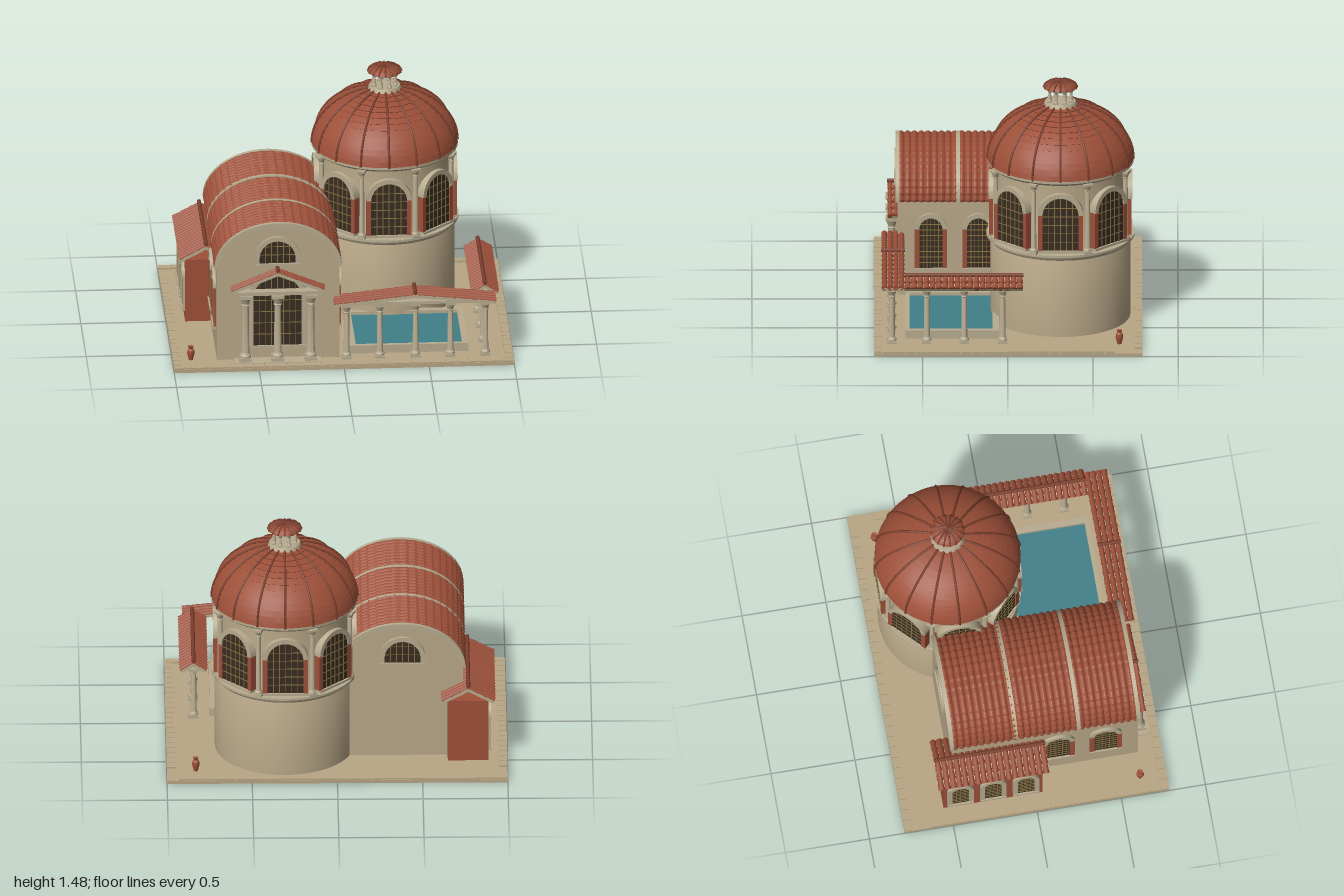
import * as THREE from 'three';
import { mergeGeometries, toCreasedNormals } from 'three/addons/utils/BufferGeometryUtils.js';
import { ParametricGeometry } from 'three/addons/geometries/ParametricGeometry.js';

const mat = (name, color, side = THREE.FrontSide) => Object.assign(new THREE.MeshStandardMaterial({ color, side }), { name });
const M = {
  wall: mat('sandstone wall', 0xb9a888),
  ground: mat('paving', 0xb8a684),
  trim: mat('pale stone trim', 0xb8ac90),
  tile: mat('terracotta tile', 0x9c4f38, THREE.DoubleSide),
  ridge: mat('dark ridge tile', 0x7c3f2d),
  brick: mat('red plaster', 0x9e5039),
  glass: mat('dark glass', 0x382c21),
  bar: mat('bronze bars', 0x86713f),
  water: mat('pool water', 0x40808a),
};
const TX = 0.305, TZ = -0.31, HX = -0.38; // tower centre, hall axis

function add(parent, name, material, geos) {
  const list = [geos].flat().map(g => (g.index ? g.toNonIndexed() : g));
  const mesh = new THREE.Mesh(list.length > 1 ? mergeGeometries(list) : list[0], material);
  mesh.name = name;
  parent.add(mesh);
  return mesh;
}
const box = (x0, x1, y0, y1, z0, z1) =>
  new THREE.BoxGeometry(x1 - x0, y1 - y0, z1 - z0).translate((x0 + x1) / 2, (y0 + y1) / 2, (z0 + z1) / 2);
const lathe = (pts, seg = 16) =>
  toCreasedNormals(new THREE.LatheGeometry(pts.map(p => new THREE.Vector2(...p)), seg), 0.5);
const extrude = (shape, z0, z1) =>
  new THREE.ExtrudeGeometry(shape, { depth: z1 - z0, bevelEnabled: false, curveSegments: 32 }).translate(0, 0, z0);

// Column with square plinth, turned shaft and square capital
function column(x, z, y0, y1, r) {
  const h = y1 - y0, w = r * 1.6;
  return [
    box(-w, w, 0, r * 0.9, -w, w),
    lathe([[r * 1.5, r * 0.9], [r * 1.5, r * 1.4], [r * 1.1, r * 2], [r, r * 2.4], [r * 0.85, h - r * 3],
      [r * 1.1, h - r * 2.8], [r * 0.9, h - r * 2.4], [r * 1.5, h - r * 0.8]], 14),
    box(-w, w, h - r * 0.8, h, -w, w),
  ].map(g => g.translate(x, y0, z));
}

// Arched window facing +z, origin at the bottom centre
function archWindow(name, w, h, { shutters = 0, deep = 0.006, sill = true, nx = 6, frame = 0.028 } = {}) {
  const g = new THREE.Group(), r = w / 2, s = h - r;
  g.name = name;
  const pane = new THREE.Shape().moveTo(-r, 0).lineTo(r, 0).lineTo(r, s).absarc(0, s, r, 0, Math.PI, false).lineTo(-r, 0);
  add(g, 'glass', M.glass, extrude(pane, -0.004, 0.004));
  const bars = [];
  for (let i = 1; i < nx; i++) {
    const x = -r + (w * i) / nx;
    bars.push(box(x - 0.002, x + 0.002, 0, s + Math.sqrt(r * r - x * x), 0.003, 0.008));
  }
  for (let y = w / 4; y < h - 0.02; y += w / 4) {
    const hw = y < s ? r : Math.sqrt(r * r - (y - s) ** 2);
    bars.push(box(-hw, hw, y - 0.002, y + 0.002, 0.003, 0.007));
  }
  add(g, 'window bars', M.bar, bars);
  const R = r + frame;
  const ring = new THREE.Shape().moveTo(R, s).absarc(0, s, R, 0, Math.PI, false).lineTo(-r, s).absarc(0, s, r, Math.PI, 0, true);
  const trim = [extrude(ring, -deep, 0.014)];
  if (sill) trim.push(box(-R, R, -0.014, 0, -deep, 0.016));
  const sides = [-1, 1].map(k => box(Math.min(k * r, k * R), Math.max(k * r, k * R), 0, s, -deep, 0.01));
  if (shutters) add(g, 'shutters', M.brick, sides);
  else trim.push(...sides);
  add(g, 'window surround', M.trim, trim);
  return g;
}

// Open gable with its ridge along z and rows of barrel tiles down both slopes
function gableRoof(parent, name, x0, x1, z0, z1, yEave, yRidge) {
  const g = new THREE.Group(), half = (x1 - x0) / 2, depth = z1 - z0;
  g.name = name;
  g.position.set((x0 + x1) / 2, yRidge, (z0 + z1) / 2);
  const t = Math.atan2(yRidge - yEave, half), len = Math.hypot(half, yRidge - yEave);
  const rows = Math.round(depth / 0.036), courses = Math.max(2, Math.round(len / 0.06));
  const step = depth / rows, cl = len / courses, slabs = [], tiles = [];
  for (const turn of [0, Math.PI]) {
    const place = geo => geo.rotateZ(-t).rotateY(turn);
    slabs.push(place(box(0, len, -0.012, 0.006, -depth / 2, depth / 2)));
    for (let i = 0; i < rows; i++) for (let j = 0; j < courses; j++) {
      tiles.push(place(new THREE.CylinderGeometry(step * 0.52, step * 0.42, cl, 8).rotateZ(-Math.PI / 2)
        .translate((j + 0.5) * cl, 0.005, -depth / 2 + (i + 0.5) * step)));
    }
  }
  add(g, 'roof boards', M.trim, slabs);
  add(g, 'roof tiles', M.tile, tiles);
  add(g, 'ridge cap', M.ridge, new THREE.CylinderGeometry(0.012, 0.012, depth + 0.004, 8).rotateX(Math.PI / 2).translate(0, 0.02, 0));
  parent.add(g);
}

// Half dome in stepped courses with raised ribs
function dome(parent, name, r, h, y, courses, ribs, ribR) {
  const pts = [], path = [];
  for (let i = 0; i < courses; i++) {
    const a = (i / courses) * Math.PI / 2, b = ((i + 1) / courses) * Math.PI / 2;
    pts.push([r * Math.cos(a), h * Math.sin(a)], [r * 0.985 * Math.cos(b), h * 0.985 * Math.sin(b)]);
  }
  add(parent, name, M.tile, lathe(pts, 64).translate(TX, y, TZ));
  for (let i = 0; i <= 10; i++) {
    const a = (i / 10) * Math.PI / 2;
    path.push(new THREE.Vector3(r * Math.cos(a), h * Math.sin(a), 0));
  }
  const rib = new THREE.TubeGeometry(new THREE.CatmullRomCurve3(path), 20, ribR, 6);
  const all = Array.from({ length: ribs }, (_, i) => rib.clone().rotateY((i / ribs) * Math.PI * 2).translate(TX, y, TZ));
  add(parent, name + ' ribs', M.ridge, all);
}

export function createModel() {
  const root = new THREE.Group();
  root.name = 'domed bath house';
  const put = (g, x, y, z, ry = 0) => { g.position.set(x, y, z); g.rotation.y = ry; root.add(g); };

  // Paved base with curb stones
  add(root, 'base', M.ground, box(-1, 1, 0, 0.02, -0.79, 0.785));
  const curb = [];
  for (let i = 0; i < 30; i++) {
    const x = -0.998 + i * 0.0665;
    curb.push(box(x, x + 0.062, 0.02, 0.03, 0.738, 0.783));
    if (i < 29) curb.push(box(x, x + 0.062, 0.02, 0.03, -0.788, -0.743));
  }
  for (let i = 0; i < 21; i++) for (const x of [-0.998, 0.95]) {
    const z = -0.63 + i * 0.065;
    curb.push(box(x, x + 0.048, 0.02, 0.03, z, z + 0.06));
  }
  add(root, 'curb stones', M.ground, curb);

  // Barrel-vaulted hall
  const A = 0.36, B = 0.268, spring = 0.6, z0 = -0.465, z1 = 0.645;
  const wall = new THREE.Shape().moveTo(-A, 0.02).lineTo(A, 0.02).lineTo(A, spring)
    .absellipse(0, spring, A, B, 0, Math.PI, false).lineTo(-A, 0.02);
  add(root, 'hall walls', M.wall, toCreasedNormals(extrude(wall, z0, z1), 0.4).translate(HX, 0, 0));
  const vault = new ParametricGeometry((u, v, p) => {
    const w = Math.abs(v - 0.5) * 2, a = Math.PI * v;
    const k = 0.001 + 0.012 * Math.abs(Math.sin(Math.PI * 28 * u)) + 0.006 * ((w * 11 + 1e-6) % 1);
    p.set(HX + (A + k) * Math.cos(a), spring + (B + k) * Math.sin(a), z0 + (z1 - z0) * u);
  }, 168, 66).toNonIndexed();
  vault.computeVertexNormals();
  add(root, 'vault tiles', M.tile, vault);
  const arch = new THREE.Shape().moveTo(A + 0.014, spring).absellipse(0, spring, A + 0.014, B + 0.016, 0, Math.PI, false)
    .lineTo(-A + 0.012, spring).absellipse(0, spring, A - 0.012, B - 0.012, Math.PI, 0, true);
  add(root, 'vault arches', M.trim, [z0 - 0.012, -0.095, 0.278, z1 - 0.012]
    .map(z => toCreasedNormals(extrude(arch, z, z + 0.024), 0.5).translate(HX, 0, 0)));
  put(archWindow('entrance window', 0.285, 0.44, { nx: 8 }), -0.385, 0.11, z1 + 0.004);
  put(archWindow('front lunette', 0.21, 0.14), -0.385, 0.63, z1 + 0.004);
  put(archWindow('back lunette', 0.21, 0.14), -0.385, 0.63, z0 - 0.004, Math.PI);
  for (const s of [-1, 1]) for (const z of [0.45, 0.17]) {
    put(archWindow('hall side window', 0.135, 0.31, { shutters: 1 }), HX + s * (A + 0.004), 0.19, z, s * Math.PI / 2);
  }

  // Entrance portico
  add(root, 'portico columns', M.trim, [-0.575, -0.385, -0.19].flatMap(x => column(x, 0.68, 0.03, 0.445, 0.023)));
  add(root, 'portico beam', M.trim, [box(-0.64, -0.13, 0.445, 0.468, 0.645, 0.705), box(-0.64, -0.13, 0.02, 0.03, 0.64, 0.73)]);
  gableRoof(root, 'portico roof', -0.655, -0.115, 0.64, 0.705, 0.47, 0.58);

  // Red side annex with three arched windows
  add(root, 'annex walls', M.brick, box(-0.89, -0.65, 0.02, 0.41, -0.54, 0.05));
  gableRoof(root, 'annex roof', -0.92, -0.62, -0.575, 0.085, 0.42, 0.5);
  for (const z of [-0.44, -0.245, -0.05]) put(archWindow('annex window', 0.1, 0.25, { nx: 4 }), -0.894, 0.09, z, -Math.PI / 2);

  // Round tower
  const atTower = (r, a) => [TX + r * Math.sin(a), TZ + r * Math.cos(a)];
  add(root, 'tower drum', M.wall, lathe([[0.41, 0.02], [0.41, 0.5], [0.395, 0.53], [0.395, 0.97]], 64).translate(TX, 0, TZ));
  add(root, 'tower cornices', M.trim, [
    lathe([[0.405, 0.49], [0.415, 0.5], [0.42, 0.515], [0.435, 0.52], [0.435, 0.533], [0.38, 0.533]], 64),
    lathe([[0.385, 0.955], [0.41, 0.962], [0.425, 0.975], [0.43, 0.978], [0.43, 0.992], [0.3, 0.992]], 64),
  ].map(g => g.translate(TX, 0, TZ)));
  const posts = [];
  for (let i = 0; i < 8; i++) {
    const a = (i * Math.PI) / 4, [x, z] = atTower(0.408, a), w = a + Math.PI / 8;
    put(archWindow('tower window', 0.21, 0.325, { shutters: 1, deep: 0.04 }), x, 0.56, z, a);
    posts.push(...column(0, 0.412, 0.533, 0.967, 0.016).map(g => g.rotateY(w).translate(TX, 0, TZ)));
  }
  add(root, 'tower columns', M.trim, posts);
  dome(root, 'dome', 0.43, 0.35, 0.988, 15, 16, 0.007);

  // Lantern on the dome
  const small = [];
  for (let i = 0; i < 8; i++) {
    const [x, z] = atTower(0.068, (i + 0.5) * Math.PI / 4);
    small.push(...column(x, z, 1.345, 1.428, 0.009));
  }
  add(root, 'lantern columns', M.trim, small);
  add(root, 'lantern rings', M.trim, [
    new THREE.CylinderGeometry(0.09, 0.1, 0.022, 32).translate(TX, 1.336, TZ),
    new THREE.CylinderGeometry(0.09, 0.085, 0.012, 32).translate(TX, 1.428, TZ),
  ]);
  dome(root, 'lantern cap', 0.1, 0.042, 1.432, 5, 16, 0.005);
  add(root, 'lantern cap underside', M.tile, new THREE.CircleGeometry(0.1, 32).rotateX(Math.PI / 2).translate(TX, 1.432, TZ));

  // Pool with raised rim
  add(root, 'pool rim', M.trim, [
    box(0.04, 0.08, 0.02, 0.07, 0.05, 0.6), box(0.705, 0.74, 0.02, 0.07, 0.05, 0.6),
    box(0.08, 0.705, 0.02, 0.07, 0.575, 0.6), box(0.08, 0.705, 0.02, 0.07, 0.05, 0.09),
  ]);
  add(root, 'pool water', M.water, box(0.08, 0.705, 0.02, 0.05, 0.09, 0.575));

  // Colonnades along two sides of the pool
  add(root, 'colonnade columns', M.trim, [
    ...[0.02, 0.215, 0.425, 0.63, 0.835].flatMap(x => column(x, 0.68, 0.03, 0.37, 0.018)),
    ...[0.475, 0.255, 0.03].flatMap(z => column(0.835, z, 0.03, 0.37, 0.018)),
  ]);
  add(root, 'colonnade beams', M.trim, [box(-0.04, 0.88, 0.37, 0.388, 0.65, 0.71), box(0.805, 0.865, 0.37, 0.388, -0.07, 0.65)]);
  gableRoof(root, 'front colonnade roof', -0.055, 0.895, 0.605, 0.74, 0.385, 0.435);
  gableRoof(root, 'side colonnade roof', 0.765, 0.91, -0.09, 0.605, 0.385, 0.43);

  // Clay urns
  const urn = lathe([[0, 0.02], [0.012, 0.02], [0.022, 0.06], [0.02, 0.08], [0.011, 0.092], [0.017, 0.105], [0, 0.1]]);
  for (const [x, z] of [[0.83, -0.655], [-0.893, 0.63]]) add(root, 'urn', M.brick, urn.clone().translate(x, 0, z));
  return root;
}
